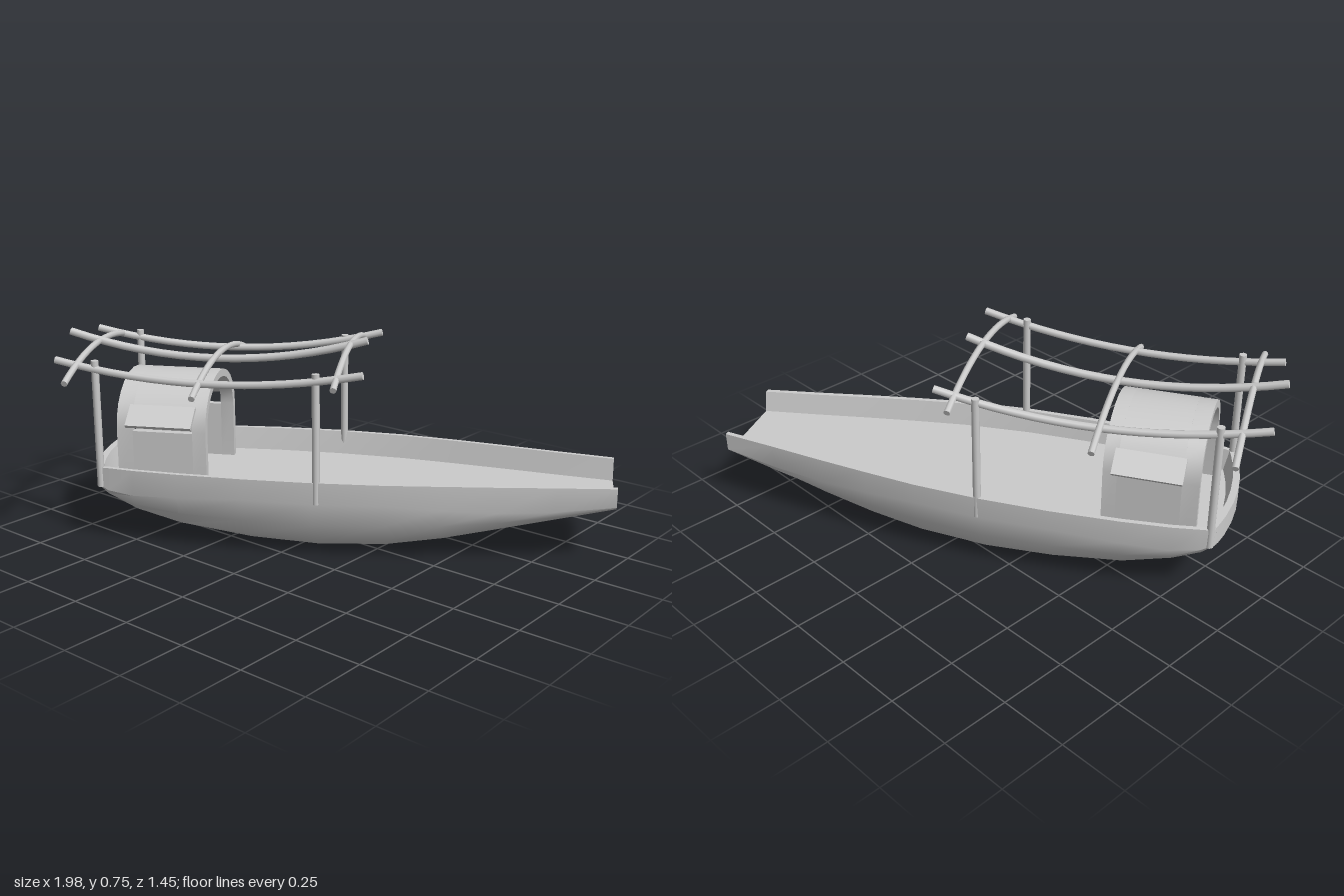
import * as THREE from 'three';
import { toCreasedNormals } from 'three/addons/utils/BufferGeometryUtils.js';

const material = new THREE.MeshStandardMaterial({ color: 0xcccccc, side: THREE.DoubleSide });
const FLOOR = 0.205;

function add(parent, geometry, name) {
  const mesh = new THREE.Mesh(geometry, material);
  mesh.name = name;
  parent.add(mesh);
  return mesh;
}

// Skin a list of equally long rows of points
function loft(rows, closed = false) {
  const n = rows[0].length, index = [];
  for (let r = 0; r < rows.length - 1; r++) {
    for (let i = 0; i < (closed ? n : n - 1); i++) {
      const a = r * n + i, b = r * n + (i + 1) % n;
      index.push(a, b, a + n, b, b + n, a + n);
    }
  }
  const g = new THREE.BufferGeometry();
  g.setAttribute('position', new THREE.Float32BufferAttribute(rows.flat(2), 3));
  g.setIndex(index);
  return toCreasedNormals(g, 0.6);
}

// Hull stations: position along the boat, half width, keel height, rim height, stern bulge
const stations = [
  [-0.81, 0.267, 0.2, 0.283, 1], [-0.77, 0.275, 0.155, 0.285, 0.7], [-0.67, 0.295, 0.1, 0.287, 0.2],
  [-0.5, 0.313, 0.045, 0.289, 0], [-0.25, 0.326, 0.012, 0.291, 0], [0, 0.325, 0, 0.292, 0],
  [0.25, 0.308, 0.012, 0.292, 0], [0.45, 0.28, 0.045, 0.291, 0], [0.65, 0.248, 0.092, 0.289, 0],
  [0.85, 0.213, 0.143, 0.287, 0], [1.06, 0.179, 0.195, 0.285, 0],
];
const profile = [[1, 1], [0.995, 0.72], [0.94, 0.42], [0.82, 0.18], [0.62, 0.05], [0.3, 0.01]];

function outerSection([, hw, keel, rim]) {
  const k = Math.min(1, (rim - keel) / 0.28);
  const half = profile.map(([w, f]) => [w * hw, keel + (rim - keel) * (f === 1 ? 1 : f * k)]);
  return [...half, [0, keel], ...half.map(([w, y]) => [-w, y]).reverse()];
}

function ring(s) {
  const [, hw, , rim] = s;
  return [...outerSection(s),
    [-hw + 0.018, rim], [-hw + 0.035, FLOOR], [hw - 0.035, FLOOR], [hw - 0.018, rim]];
}

function buildHull(parent) {
  const hull = new THREE.Group();
  hull.name = 'hull';
  parent.add(hull);
  const place = (s, w, y, dx = 0) => [s[0] + dx - 0.045 * s[4] * (1 - (w / s[1]) ** 2), y, w];
  add(hull, loft(stations.map(s => ring(s).map(([w, y]) => place(s, w, y))), true), 'hullShell');

  // Curved stern wall with a thick rim
  const s = stations[0], section = outerSection(s);
  add(hull, loft([
    section.map(([w, y]) => place(s, w, y)),
    section.map(([w]) => place(s, w, s[3])),
    section.map(([w]) => place(s, w, s[3], 0.025)),
    section.map(([w]) => place(s, w, FLOOR, 0.045)),
  ]), 'sternWall');

  // Open bow: only the thickness of the planks is closed
  const bow = stations[stations.length - 1];
  const end = new THREE.ShapeGeometry(new THREE.Shape(ring(bow).map(p => new THREE.Vector2(...p))));
  end.rotateY(-Math.PI / 2).translate(bow[0], 0, 0);
  add(hull, end, 'bowEdge');
}

// Arched cabin
const ARCH = { w: 0.22, spring: 0.42, rise: 0.18, t: 0.028 };

function archShape(start, withLegs) {
  const { w, spring, rise, t } = ARCH, outer = [], inner = [];
  for (let i = 0; i <= 12; i++) {
    const a = start + (Math.PI - 2 * start) * i / 12;
    outer.push([w * Math.cos(a), spring + rise * Math.sin(a)]);
    inner.push([(w - t) * Math.cos(a), spring + (rise - t) * Math.sin(a)]);
  }
  if (withLegs) {
    outer.unshift([w, FLOOR]);
    outer.push([-w, FLOOR]);
    inner.unshift([w - t, FLOOR]);
    inner.push([t - w, FLOOR]);
  }
  return new THREE.Shape([...outer, ...inner.reverse()].map(p => new THREE.Vector2(...p)));
}

function buildCabin(parent) {
  const cabin = new THREE.Group();
  cabin.name = 'cabin';
  parent.add(cabin);
  const [x0, x1, x2, x3] = [-0.745, -0.685, -0.46, -0.41];
  const section = (shape, from, to, name) => {
    const g = new THREE.ExtrudeGeometry(shape, { depth: to - from, bevelEnabled: false });
    g.rotateY(Math.PI / 2).translate(from, 0, 0);
    add(cabin, toCreasedNormals(g, 0.5), name);
  };
  section(archShape(0, true), x0, x1, 'rearArch');
  section(archShape(0, true), x2, x3, 'frontArch');
  section(archShape(0.46, false), x1, x2, 'roofArch');
  for (const side of [-1, 1]) {
    // Wall below the window
    const h = 0.415 - FLOOR;
    add(cabin, new THREE.BoxGeometry(x2 - x1, h, ARCH.t), 'windowWall')
      .position.set((x1 + x2) / 2, FLOOR + h / 2, side * (ARCH.w - ARCH.t / 2));
    // Shutter propped open from its upper edge
    const shutter = add(cabin, new THREE.BoxGeometry(0.245, 0.014, 0.095), 'shutter');
    shutter.position.set(-0.572, 0.477, side * 0.237);
    shutter.rotation.x = side * 0.68;
  }
}

// Bent pole through two ends and a middle height, closed by discs
function pole(parent, [xa, ya, za], [xb, yb, zb], midY, radius, name) {
  const a = new THREE.Vector3(xa, ya, za), b = new THREE.Vector3(xb, yb, zb);
  const control = a.clone().add(b).multiplyScalar(0.5);
  control.y = 2 * midY - control.y;
  const curve = new THREE.QuadraticBezierCurve3(a, control, b);
  const group = new THREE.Group();
  group.name = name;
  parent.add(group);
  add(group, new THREE.TubeGeometry(curve, 16, radius, 8), name + 'Shaft');
  for (const t of [0, 1]) {
    const cap = add(group, new THREE.CircleGeometry(radius, 8), name + 'End');
    const p = curve.getPoint(t);
    cap.position.copy(p);
    cap.lookAt(p.clone().addScaledVector(curve.getTangent(t), t ? 1 : -1));
  }
}

export function createModel() {
  const model = new THREE.Group();
  model.name = 'boat';

  // The boat lies diagonally
  const body = new THREE.Group();
  body.name = 'boatBody';
  body.rotation.y = 0.511;
  body.position.set(-0.027, 0, -0.048);
  model.add(body);
  buildHull(body);
  buildCabin(body);

  // Canopy posts
  for (const [x, z] of [[-0.8, 0.262], [-0.8, -0.258], [0.014, 0.313], [0.014, -0.311]]) {
    add(body, new THREE.CylinderGeometry(0.014, 0.014, 0.475, 10), 'post').position.set(x, 0.4475, z);
  }

  // Long sagging poles
  pole(model, [-0.88, 0.73, 0.44], [0.11, 0.74, -0.11], 0.65, 0.015, 'middlePole');
  pole(model, [-0.73, 0.68, 0.64], [0.29, 0.69, 0.15], 0.625, 0.014, 'leftPole');
  pole(model, [-0.99, 0.69, 0.21], [-0.04, 0.7, -0.4], 0.625, 0.014, 'rightPole');

  // Cross poles arching upward
  pole(model, [-0.98, 0.625, 0.03], [-0.59, 0.63, 0.72], 0.7, 0.012, 'rearCrossPole');
  pole(model, [-0.58, 0.6, -0.2], [-0.195, 0.595, 0.49], 0.67, 0.012, 'middleCrossPole');
  pole(model, [-0.14, 0.66, -0.43], [0.24, 0.65, 0.25], 0.725, 0.012, 'frontCrossPole');
  return model;
}
